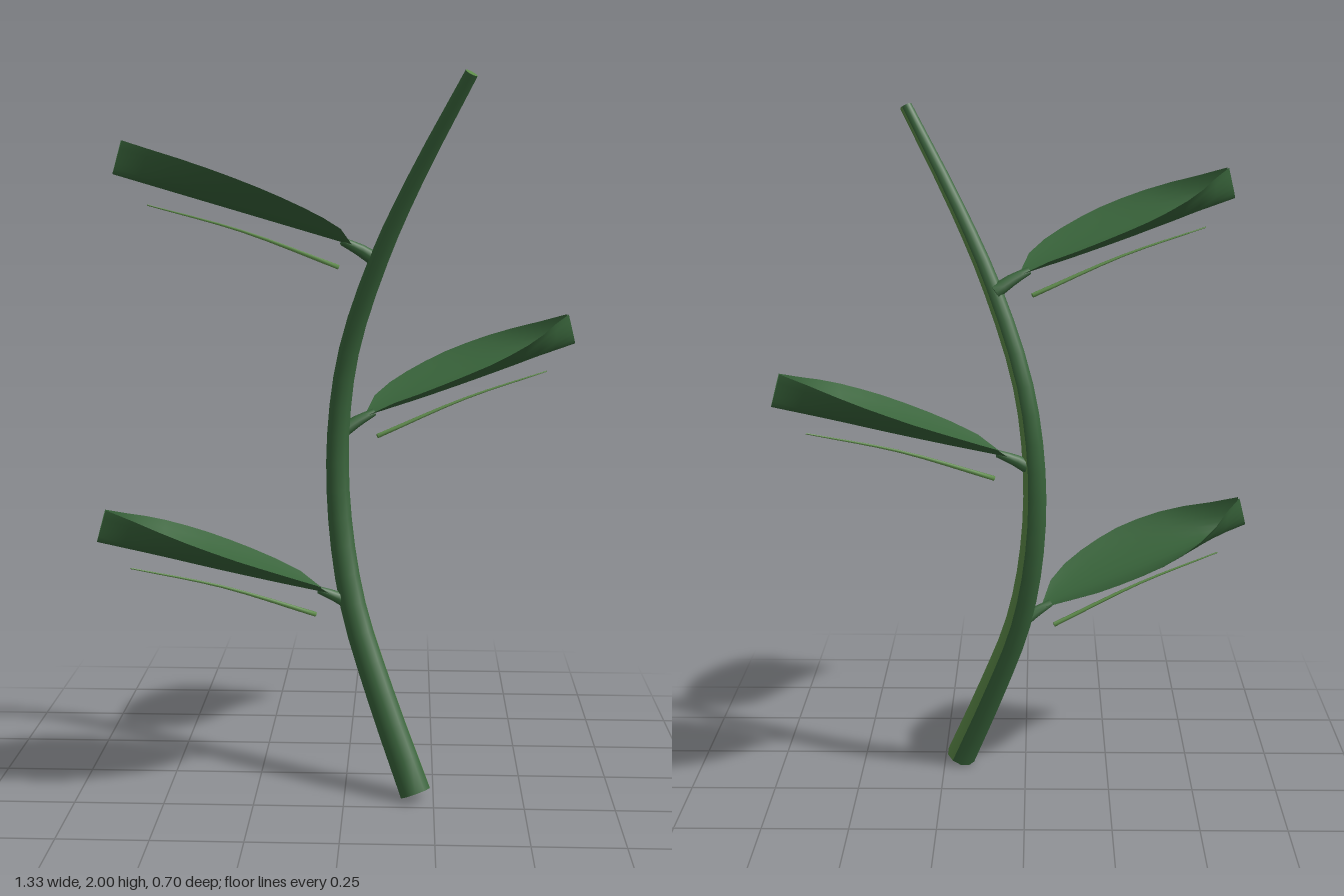
import * as THREE from 'three';

const V = (x, y, z) => new THREE.Vector3(x, y, z);
const darkGreen = new THREE.MeshStandardMaterial({ color: 0x38633a, side: THREE.DoubleSide });
darkGreen.name = 'leaf green';
const lightGreen = new THREE.MeshStandardMaterial({ color: 0x5c8a48, side: THREE.DoubleSide });
lightGreen.name = 'pale green';

// Tapered capped tube along a smooth path; side faces in paleFaces and the caps use group 1
function taperedTube(points, radii, rows, sides, sideDir, paleFaces = []) {
  const curve = new THREE.CatmullRomCurve3(points);
  const pos = [], dark = [], pale = [];
  const radiusAt = t => {
    const f = t * (radii.length - 1), i = Math.min(Math.floor(f), radii.length - 2);
    return THREE.MathUtils.lerp(radii[i], radii[i + 1], f - i);
  };
  const ring = t => {
    const c = curve.getPoint(t), tan = curve.getTangent(t);
    const b = sideDir.clone().addScaledVector(tan, -sideDir.dot(tan)).normalize();
    const n = tan.clone().cross(b), r = radiusAt(t);
    for (let i = 0; i < sides; i++) {
      const a = i / sides * Math.PI * 2;
      pos.push(...c.clone().addScaledVector(b, r * Math.cos(a)).addScaledVector(n, r * Math.sin(a)).toArray());
    }
  };
  for (let j = 0; j <= rows; j++) ring(j / rows);
  for (let j = 0; j < rows; j++) {
    for (let i = 0; i < sides; i++) {
      const a = j * sides + i, b = j * sides + (i + 1) % sides;
      (paleFaces.includes(i) ? pale : dark).push(a, b, b + sides, a, b + sides, a + sides);
    }
  }
  // end caps with their own vertices, so the rims stay sharp
  for (const t of [0, 1]) {
    const s = pos.length / 3;
    ring(t);
    for (let i = 1; i < sides - 1; i++) pale.push(s, s + i + (t ? 0 : 1), s + i + (t ? 1 : 0));
  }
  const g = new THREE.BufferGeometry();
  g.setAttribute('position', new THREE.Float32BufferAttribute(pos, 3));
  g.setIndex([...dark, ...pale]);
  g.addGroup(0, dark.length, 0);
  g.addGroup(dark.length, pale.length, 1);
  g.computeVertexNormals();
  return g;
}

// Boat-shaped blade: straight keel, rims lifting towards a steeply folded tip
function bladeGeometry() {
  const base = V(0.05, 1.05, -0.06), tip = V(0.665, 1.24, -0.27);
  const along = tip.clone().sub(base);
  const across = V(0.323, 0, 0.946);
  const lift = across.clone().cross(along).normalize();
  if (lift.y < 0) lift.negate();
  const halfWidths = [0.008, 0.09, 0.138, 0.165, 0.182, 0.19, 0.18, 0.157, 0.115, 0.055, 0.006];
  const rows = halfWidths.length - 1, cols = 12, pos = [], idx = [];
  for (let j = 0; j <= rows; j++) {
    const s = j / rows, rim = 0.09 * Math.sqrt(s);
    for (let i = 0; i <= cols; i++) {
      const t = i / cols * 2 - 1;
      const p = base.clone().addScaledVector(along, s)
        .addScaledVector(across, t * halfWidths[j])
        .addScaledVector(lift, rim * Math.abs(t) ** 1.6);
      pos.push(...p.toArray());
      if (i < cols && j < rows) {
        const a = j * (cols + 1) + i, b = a + cols + 1;
        idx.push(a, a + 1, b + 1, a, b + 1, b);
      }
    }
  }
  const g = new THREE.BufferGeometry();
  g.setAttribute('position', new THREE.Float32BufferAttribute(pos, 3));
  g.setIndex(idx);
  g.computeVertexNormals();
  return g;
}

export function createModel() {
  const model = new THREE.Group();
  model.name = 'leafySprig';
  const add = (parent, name, geometry, material) => {
    const mesh = new THREE.Mesh(geometry, material);
    mesh.name = name;
    parent.add(mesh);
  };

  // Bowed stem with a pale strip down one side
  const stemPath = [
    V(0.2, 0.02, 0.19), V(0.1, 0.28, 0.115), V(0.02, 0.52, 0.045), V(-0.02, 0.76, -0.01), V(-0.026, 1, -0.03),
    V(0.005, 1.24, -0.015), V(0.09, 1.5, 0.045), V(0.19, 1.72, 0.105), V(0.333, 1.99, 0.19),
  ];
  add(model, 'stem', taperedTube(stemPath, [0.045, 0.038, 0.033, 0.027, 0.018], 24, 10, V(0.54, 0, -0.84), [8, 9]),
    [darkGreen, lightGreen]);

  // One leaf design, turned half round for the two on the other side
  const blade = bladeGeometry();
  const stalk = taperedTube([V(-0.02, 1.005, -0.03), V(0.025, 1.035, -0.047), V(0.075, 1.06, -0.068)],
    [0.021, 0.017, 0.011], 4, 8, V(0, 0, 1));
  const rib = taperedTube([V(0.085, 0.99, -0.072), V(0.34, 1.09, -0.157), V(0.58, 1.16, -0.24)],
    [0.007, 0.004, 0.002], 8, 6, V(0, 0, 1));
  const leaves = [
    ['middleLeaf', 0, V(0, 0, 0)],
    ['lowerLeaf', Math.PI, V(0, -0.49, 0)],
    ['upperLeaf', Math.PI, V(0.065, 0.49, 0)],
  ];
  for (const [name, turn, offset] of leaves) {
    const leaf = new THREE.Group();
    leaf.name = name;
    leaf.rotation.y = turn;
    leaf.position.copy(offset);
    add(leaf, 'blade', blade, darkGreen);
    add(leaf, 'leafStalk', stalk, darkGreen);
    add(leaf, 'leafRib', rib, lightGreen);
    model.add(leaf);
  }
  return model;
}
